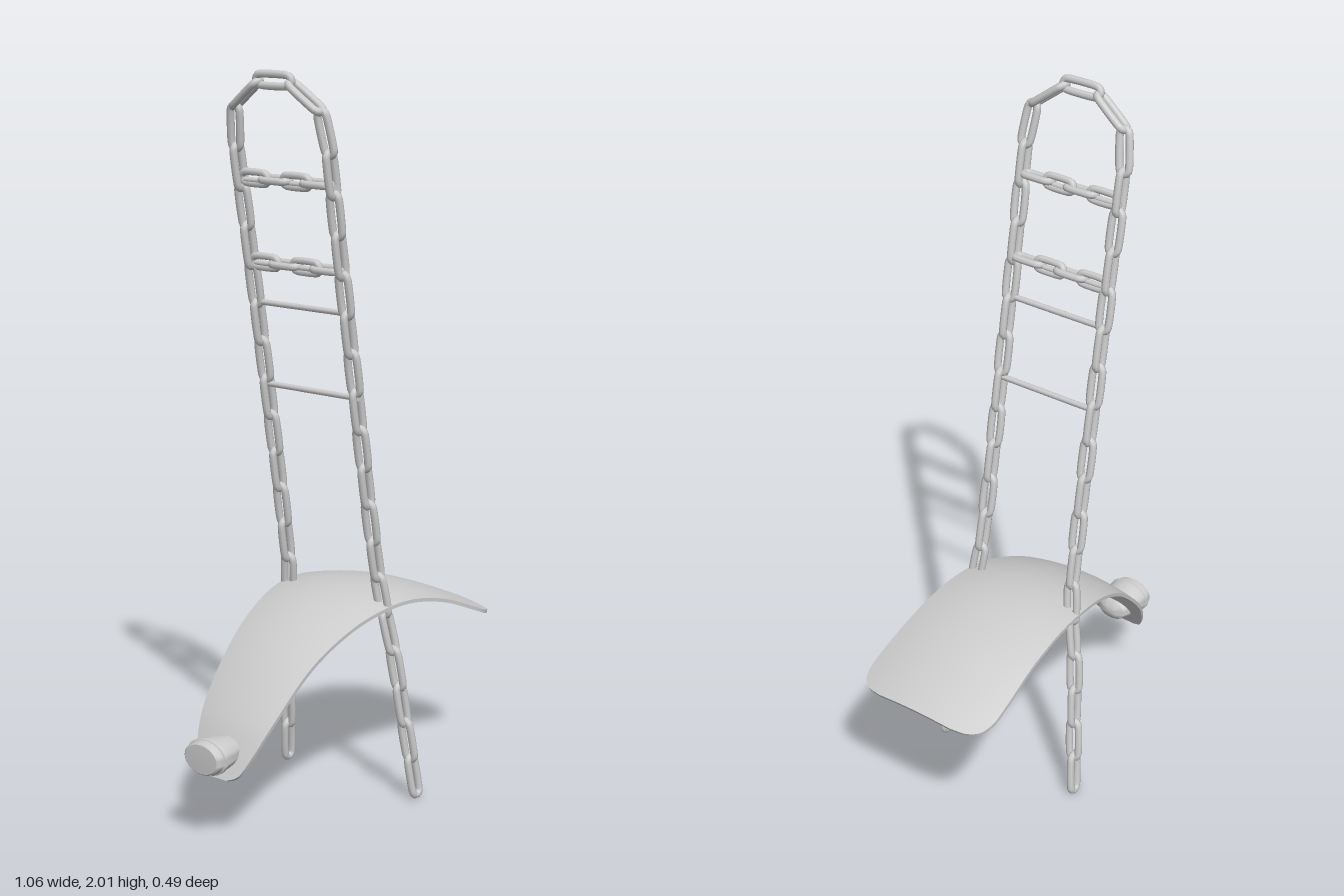
import * as THREE from 'three';
import { toCreasedNormals } from 'three/addons/utils/BufferGeometryUtils.js';

const steel = new THREE.MeshStandardMaterial({ color: 0xcccccc });
steel.name = 'pale steel';

const V = (x, y, z) => new THREE.Vector3(x, y, z);
// Lean of the chain backrest: x for a given height
const leanX = (y) => (y > 0.6 ? 0.024 - 0.178 * (y - 0.6) : 0.024 + 0.132 * (0.6 - y));
const barNormal = V(1, 0.176, 0).normalize();

function add(parent, geometry, name) {
  const mesh = new THREE.Mesh(geometry, steel);
  mesh.name = name;
  parent.add(mesh);
  return mesh;
}

// Oval chain link, long axis on x, lying in the xy plane
function linkGeometry(length, width, r) {
  const R = width / 2 - r, h = length / 2 - r - R;
  const points = [];
  for (const side of [1, -1]) {
    for (let k = 0; k <= 6; k++) {
      const a = -Math.PI / 2 + (k / 6) * Math.PI;
      points.push(V(side * (h + R * Math.cos(a)), side * R * Math.sin(a), 0));
    }
  }
  return new THREE.TubeGeometry(new THREE.CatmullRomCurve3(points, true), 36, r, 8, true);
}

// Row of links along a curve, every second one turned a quarter
function chain(name, curve, geometry, length, count, firstFacing) {
  const group = new THREE.Group();
  group.name = name;
  const total = curve.getLength();
  for (let k = 0; k < count; k++) {
    const u = (length / 2 + (k * (total - length)) / (count - 1)) / total;
    const t = curve.getTangentAt(u);
    const across = V(0, 0, 0).crossVectors(barNormal, t).normalize();
    const n = V(0, 0, 0).crossVectors(t, across);
    const facing = (k % 2 === 0) === firstFacing;
    const basis = facing
      ? new THREE.Matrix4().makeBasis(t, across, n)
      : new THREE.Matrix4().makeBasis(t, n, across.clone().negate());
    const link = add(group, geometry, 'chainLink');
    link.quaternion.setFromRotationMatrix(basis);
    link.position.copy(curve.getPointAt(u));
  }
  return group;
}

// Thin crowned sheet: each section gives x, y and half width
function fenderGeometry() {
  const sections = [
    [-0.478, 0.185, 0.04], [-0.47, 0.2, 0.07], [-0.445, 0.25, 0.095], [-0.395, 0.332, 0.12],
    [-0.26, 0.47, 0.146], [-0.125, 0.55, 0.17], [0, 0.588, 0.189], [0.125, 0.592, 0.198],
    [0.27, 0.562, 0.205], [0.41, 0.508, 0.212], [0.46, 0.486, 0.21], [0.496, 0.47, 0.195],
    [0.515, 0.461, 0.165], [0.523, 0.457, 0.12],
  ];
  const curve = new THREE.CatmullRomCurve3(sections.map((s) => V(...s)));
  const rows = 72, cols = 16, ring = 2 * (cols + 1), thick = 0.01;
  const pos = [], idx = [];
  for (let i = 0; i <= rows; i++) {
    const p = curve.getPoint(i / rows), d = curve.getTangent(i / rows);
    const len = Math.hypot(d.x, d.y), nx = -d.y / len, ny = d.x / len;
    for (let j = 0; j < ring; j++) {
      const top = j <= cols;
      const v = ((top ? j : ring - 1 - j) / cols) * 2 - 1;
      const z = v * p.z;
      const drop = 0.7 * z * z + (top ? 0 : thick);
      pos.push(p.x - nx * drop, p.y - ny * drop, z);
    }
  }
  for (let i = 0; i < rows; i++) {
    for (let j = 0; j < ring; j++) {
      const a = i * ring + j, b = i * ring + ((j + 1) % ring);
      idx.push(a, b, a + ring, b, b + ring, a + ring);
    }
  }
  // Close both ends
  const e = rows * ring;
  for (let j = 0; j < cols; j++) {
    const t0 = j, t1 = j + 1, b0 = ring - 1 - j, b1 = b0 - 1;
    idx.push(t0, b0, t1, t1, b0, b1);
    idx.push(e + t0, e + t1, e + b0, e + t1, e + b1, e + b0);
  }
  const g = new THREE.BufferGeometry();
  g.setAttribute('position', new THREE.Float32BufferAttribute(pos, 3));
  g.setIndex(idx);
  return toCreasedNormals(g, 0.8);
}

export function createModel() {
  const model = new THREE.Group();
  add(model, fenderGeometry(), 'fender');

  // Oval tail lamp with a rim, passing through the fender tail
  const lampProfile = [
    [0, -0.395], [0.025, -0.398], [0.045, -0.41], [0.052, -0.43], [0.062, -0.475], [0.064, -0.498],
    [0.068, -0.5], [0.068, -0.508], [0.063, -0.51], [0.06, -0.527], [0.055, -0.531], [0, -0.533],
  ].map(([r, x]) => new THREE.Vector2(r, -x)); 
  const lampGeo = new THREE.LatheGeometry(lampProfile, 32);
  lampGeo.rotateZ(Math.PI / 2); // lathe axis now points to -x
  lampGeo.scale(1, 0.72, 1);
  add(model, toCreasedNormals(lampGeo, 0.6), 'tailLamp').position.y = 0.25;

  // Long chain: up one leg, over the arch, down the other
  const half = [
    [0.232, 0], [0.212, 0.2], [0.19, 0.42], [0.162, 0.6], [0.155, 0.75],
    [0.153, 1.2], [0.153, 1.6], [0.153, 1.8], [0.143, 1.88], [0.1, 1.94],
  ];
  const path = [
    ...half.map(([z, y]) => V(leanX(y), y, z)),
    V(leanX(1.98), 1.98, 0),
    ...half.slice().reverse().map(([z, y]) => V(leanX(y), y, -z)),
  ];
  const longCurve = new THREE.CatmullRomCurve3(path, false, 'centripetal');
  longCurve.arcLengthDivisions = 800;
  const longLink = linkGeometry(0.138, 0.05, 0.0105);
  model.add(chain('backrestChain', longCurve, longLink, 0.138, 39, false));

  // Cross chains between the legs, each with a thin rod
  const shortLink = linkGeometry(0.108, 0.05, 0.01);
  for (const y of [1.722, 1.497]) {
    const line = new THREE.LineCurve3(V(leanX(y), y, 0.158), V(leanX(y), y, -0.158));
    model.add(chain('crossChain', line, shortLink, 0.108, 4, false));
  }
  for (const y of [1.715, 1.492, 1.385, 1.155]) {
    const rod = add(model, new THREE.CylinderGeometry(0.008, 0.008, 0.32, 10), 'crossRod');
    rod.rotation.x = Math.PI / 2;
    rod.position.set(leanX(y), y, 0);
  }
  return model;
}
